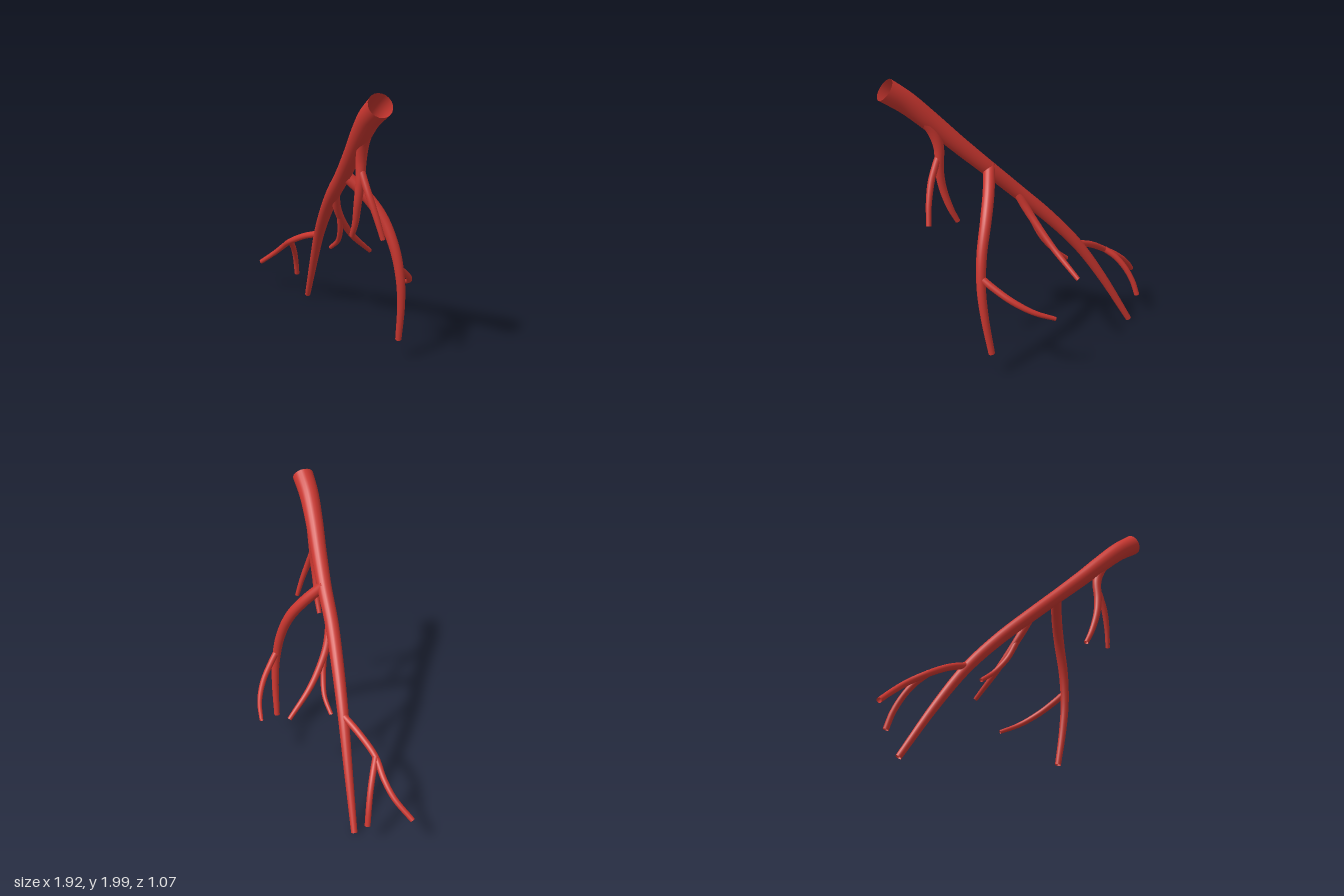
import * as THREE from 'three';

// Tapered tube along a smooth path; radii are spread evenly over its length
function vessel(name, points, radii, material, sides = 20) {
  const curve = new THREE.CatmullRomCurve3(points.map((p) => new THREE.Vector3(...p)));
  const rings = points.length * 8;
  const geo = new THREE.TubeGeometry(curve, rings, 1, sides, false);
  const pos = geo.attributes.position;
  const centre = new THREE.Vector3();
  const v = new THREE.Vector3();
  for (let i = 0; i <= rings; i++) {
    const t = (i / rings) * (radii.length - 1);
    const k = Math.min(Math.floor(t), radii.length - 2);
    const r = THREE.MathUtils.lerp(radii[k], radii[k + 1], t - k);
    curve.getPointAt(i / rings, centre);
    for (let j = 0; j <= sides; j++) {
      const n = i * (sides + 1) + j;
      v.fromBufferAttribute(pos, n).sub(centre).multiplyScalar(r).add(centre);
      pos.setXYZ(n, v.x, v.y, v.z);
    }
  }
  const mesh = new THREE.Mesh(geo, material);
  mesh.name = name;
  return mesh;
}

export function createModel() {
  const red = new THREE.MeshStandardMaterial({ color: 0xc9362f, side: THREE.DoubleSide });
  red.name = 'arterial red';

  const group = new THREE.Group();
  group.name = 'branchingVessel';
  const add = (name, points, radii) => group.add(vessel(name, points, radii, red));

  // Main trunk, from the wide upper mouth to the thin lower tip
  add('trunk', [
    [0.912, 1.93, 0.458], [0.79, 1.835, 0.4], [0.655, 1.695, 0.32], [0.5, 1.52, 0.217],
    [0.33, 1.335, 0.107], [0.16, 1.155, 0.008], [-0.04, 0.93, -0.13], [-0.22, 0.69, -0.26],
    [-0.385, 0.4, -0.38], [-0.58, 0.01, -0.515],
  ], [0.077, 0.067, 0.058, 0.052, 0.049, 0.045, 0.04, 0.034, 0.028, 0.022]);

  // Upper branch and its twig
  add('upperBranch', [
    [0.71, 1.735, 0.335], [0.66, 1.64, 0.302], [0.633, 1.53, 0.283], [0.63, 1.38, 0.287],
    [0.61, 1.25, 0.282], [0.57, 1.1, 0.255], [0.525, 1.0, 0.233],
  ], [0.044, 0.037, 0.031, 0.027, 0.023, 0.017]);
  add('upperTwig', [
    [0.63, 1.48, 0.284], [0.665, 1.41, 0.29], [0.71, 1.315, 0.292], [0.76, 1.18, 0.277], [0.795, 1.045, 0.255],
  ], [0.024, 0.022, 0.016]);

  // Long hooked branch and its twig
  add('longBranch', [
    [0.33, 1.36, 0.107], [0.46, 1.21, 0.022], [0.565, 1.06, -0.03], [0.65, 0.865, -0.057],
    [0.69, 0.65, -0.078], [0.688, 0.44, -0.1], [0.655, 0.17, -0.127],
  ], [0.04, 0.039, 0.034, 0.028, 0.022]);
  add('longTwig', [
    [0.685, 0.72, -0.075], [0.665, 0.665, -0.15], [0.62, 0.58, -0.27], [0.535, 0.495, -0.385], [0.415, 0.425, -0.475],
  ], [0.024, 0.021, 0.014]);

  // Middle branch and its twig
  add('middleBranch', [
    [0.17, 1.16, 0], [0.14, 1.04, -0.055], [0.122, 0.945, -0.115], [0.105, 0.77, -0.26], [0.11, 0.59, -0.465],
  ], [0.032, 0.026, 0.022, 0.016]);
  add('middleTwig', [
    [0.125, 0.95, -0.105], [0.085, 0.825, -0.155], [0.01, 0.71, -0.215], [-0.09, 0.625, -0.25],
  ], [0.022, 0.019, 0.015]);

  // Lower branch and its twig
  add('lowerBranch', [
    [-0.21, 0.7, -0.265], [-0.39, 0.632, -0.277], [-0.56, 0.54, -0.295], [-0.69, 0.452, -0.348],
    [-0.8, 0.365, -0.365], [-0.945, 0.25, -0.34],
  ], [0.025, 0.023, 0.021, 0.018]);
  add('lowerTwig', [
    [-0.565, 0.54, -0.297], [-0.61, 0.475, -0.37], [-0.65, 0.385, -0.435], [-0.685, 0.27, -0.487], [-0.705, 0.16, -0.517],
  ], [0.023, 0.021, 0.02]);

  return group;
}
